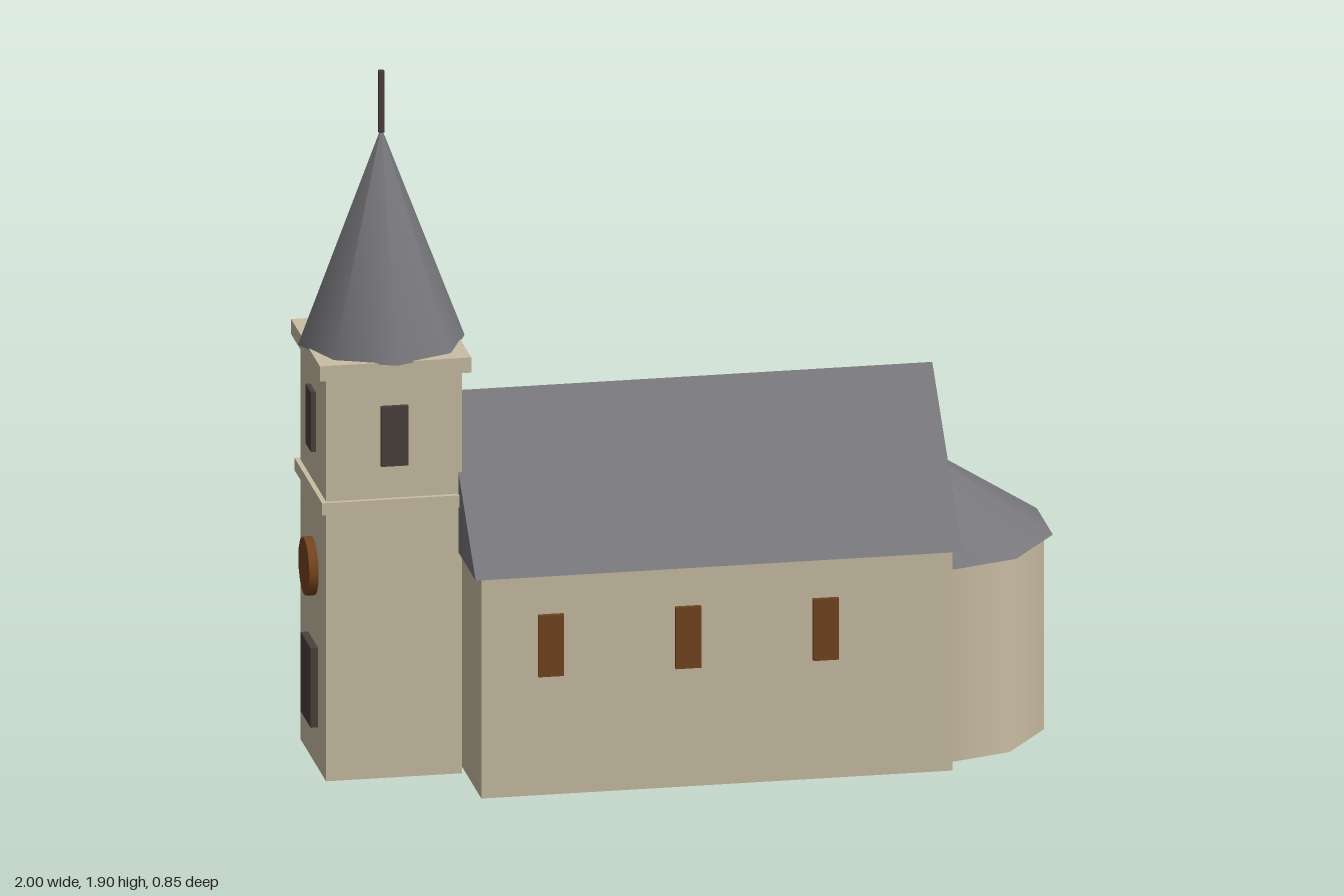
import * as THREE from 'three';

const material = (name, color) => {
  const m = new THREE.MeshStandardMaterial({ color });
  m.name = name;
  return m;
};

export function createModel() {
  const stone = material('stone', 0xc9bda3);
  const slate = material('slate', 0x77777b);
  const wood = material('brown wood', 0x74441f);
  const dark = material('dark opening', 0x4a403b);

  const church = new THREE.Group();
  church.name = 'church';
  const add = (parent, name, geometry, mat, x, y, z) => {
    const mesh = new THREE.Mesh(geometry, mat);
    mesh.name = name;
    mesh.position.set(x, y, z);
    parent.add(mesh);
    return mesh;
  };
  // box given by its size and the height of its underside
  const box = (parent, name, mat, w, h, d, x, bottom, z) =>
    add(parent, name, new THREE.BoxGeometry(w, h, d), mat, x, bottom + h / 2, z);

  // nave with gabled roof
  const nave = new THREE.Group();
  nave.name = 'nave';
  church.add(nave);
  box(nave, 'naveWalls', stone, 1.26, 0.612, 0.8, 0.045, 0, 0);
  const gable = new THREE.Shape([
    new THREE.Vector2(-0.425, 0.612),
    new THREE.Vector2(0.425, 0.612),
    new THREE.Vector2(0, 1.0),
  ]);
  const roof = new THREE.ExtrudeGeometry(gable, { depth: 1.302, bevelEnabled: false });
  roof.rotateY(Math.PI / 2);
  add(nave, 'naveRoof', roof, slate, -0.605, 0, 0);
  for (const side of [1, -1]) {
    for (const x of [-0.4, -0.033, 0.335]) {
      box(nave, 'naveWindow', wood, 0.068, 0.17, 0.026, x, 0.33, side * 0.4);
    }
  }

  // rounded apse with conical roof
  const apse = new THREE.Group();
  apse.name = 'apse';
  apse.position.x = 0.652;
  church.add(apse);
  add(apse, 'apseWall', new THREE.CylinderGeometry(0.34, 0.34, 0.54, 10), stone, 0, 0.27, 0);
  add(apse, 'apseRoof', new THREE.ConeGeometry(0.364, 0.24, 10), slate, 0, 0.66, 0);

  // tower, string course, cornice and spire
  const tower = new THREE.Group();
  tower.name = 'tower';
  tower.position.x = -0.777;
  church.add(tower);
  box(tower, 'towerWalls', stone, 0.364, 1.13, 0.364, 0, 0, 0);
  box(tower, 'stringCourse', stone, 0.39, 0.034, 0.39, 0, 0.74, 0);
  box(tower, 'cornice', stone, 0.405, 0.042, 0.405, 0, 1.114, 0);
  add(tower, 'spire', new THREE.ConeGeometry(0.223, 0.588, 8), slate, 0, 1.446, 0);
  box(tower, 'finial', dark, 0.015, 0.17, 0.015, 0, 1.727, 0);

  // belfry openings on all four faces
  for (let i = 0; i < 4; i++) {
    const face = new THREE.Group();
    face.name = 'belfryFace';
    face.rotation.y = (i * Math.PI) / 2;
    tower.add(face);
    box(face, 'belfryOpening', dark, 0.073, 0.165, 0.026, 0, 0.865, 0.182);
  }

  // entrance door and round window on the end face
  box(tower, 'door', dark, 0.04, 0.22, 0.14, -0.182, 0.113, 0);
  const disc = new THREE.CylinderGeometry(0.078, 0.078, 0.05, 16);
  disc.rotateZ(Math.PI / 2);
  add(tower, 'roundWindow', disc, wood, -0.182, 0.538, 0);

  return church;
}
